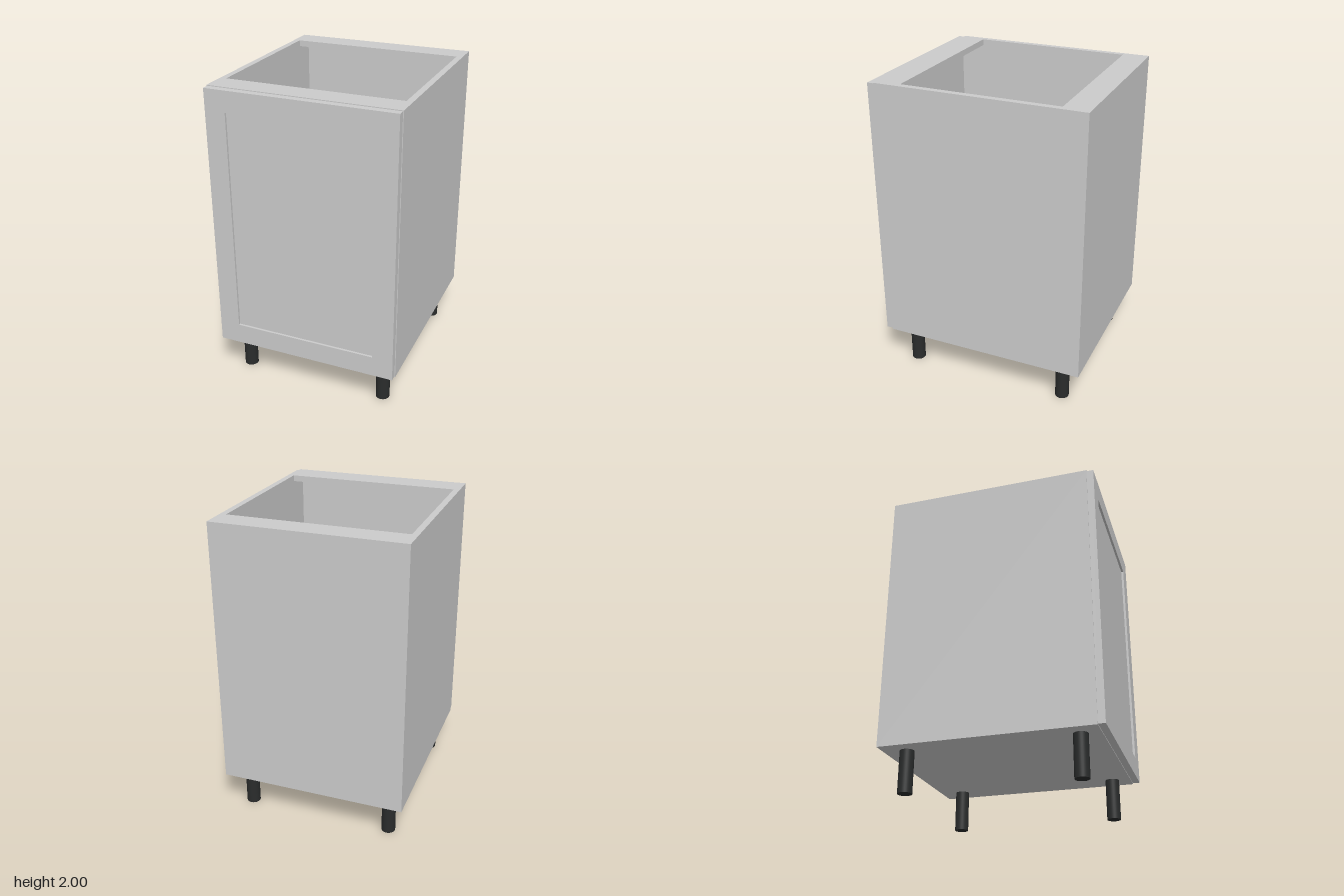
import * as THREE from 'three';

const grey = new THREE.MeshStandardMaterial({ color: 0xcccccc });
const dark = new THREE.MeshStandardMaterial({ color: 0x2a2c2c });

// Box given by its minimum and maximum on each axis
function panel(name, [x0, x1], [y0, y1], [z0, z1]) {
  const mesh = new THREE.Mesh(new THREE.BoxGeometry(x1 - x0, y1 - y0, z1 - z0), grey);
  mesh.position.set((x0 + x1) / 2, (y0 + y1) / 2, (z0 + z1) / 2);
  mesh.name = name;
  return mesh;
}

function rectangle(Type, x, y0, y1) {
  const r = new Type();
  r.moveTo(-x, y0);
  r.lineTo(x, y0);
  r.lineTo(x, y1);
  r.lineTo(-x, y1);
  r.closePath();
  return r;
}

export function createModel() {
  const model = new THREE.Group();
  model.name = 'baseCabinet';

  const W = 0.605, T = 0.04, inner = W - T;
  const base = 0.265, top = 2, back = -0.69, front = 0.645;

  // Carcass
  model.add(
    panel('leftSide', [inner, W], [base, top], [back, front]),
    panel('rightSide', [-W, -inner], [base, top], [back, front]),
    panel('bottomPanel', [-inner, inner], [base, base + T], [back, front]),
    panel('backPanel', [-inner, inner], [base + T, top - T], [back, back + 0.02]),
    panel('backTopRail', [-inner, inner], [top - T, top], [back, -0.525]),
    panel('frontTopRail', [-inner, inner], [top - T, top], [0.485, front]),
    panel('shelf', [-inner + 0.006, inner - 0.006], [1.11, 1.15], [back + 0.02, 0.6])
  );

  // Door: frame with an opening, and a slightly recessed centre panel
  const door = new THREE.Group();
  door.name = 'door';
  const outline = rectangle(THREE.Shape, 0.6, 0.27, 1.995);
  outline.holes.push(rectangle(THREE.Path, 0.467, 0.405, 1.86));
  const frame = new THREE.Mesh(
    new THREE.ExtrudeGeometry(outline, { depth: 0.045, bevelEnabled: false }), grey);
  frame.position.z = front;
  frame.name = 'doorFrame';
  door.add(frame, panel('doorPanel', [-0.467, 0.467], [0.405, 1.86], [front, 0.675]));
  model.add(door);

  // Legs
  const legGeometry = new THREE.CylinderGeometry(0.045, 0.045, base, 32);
  for (const x of [-0.483, 0.483]) {
    for (const z of [-0.545, 0.523]) {
      const leg = new THREE.Mesh(legGeometry, dark);
      leg.position.set(x, base / 2, z);
      leg.name = (z > 0 ? 'front' : 'back') + (x > 0 ? 'Left' : 'Right') + 'Leg';
      model.add(leg);
    }
  }
  return model;
}
